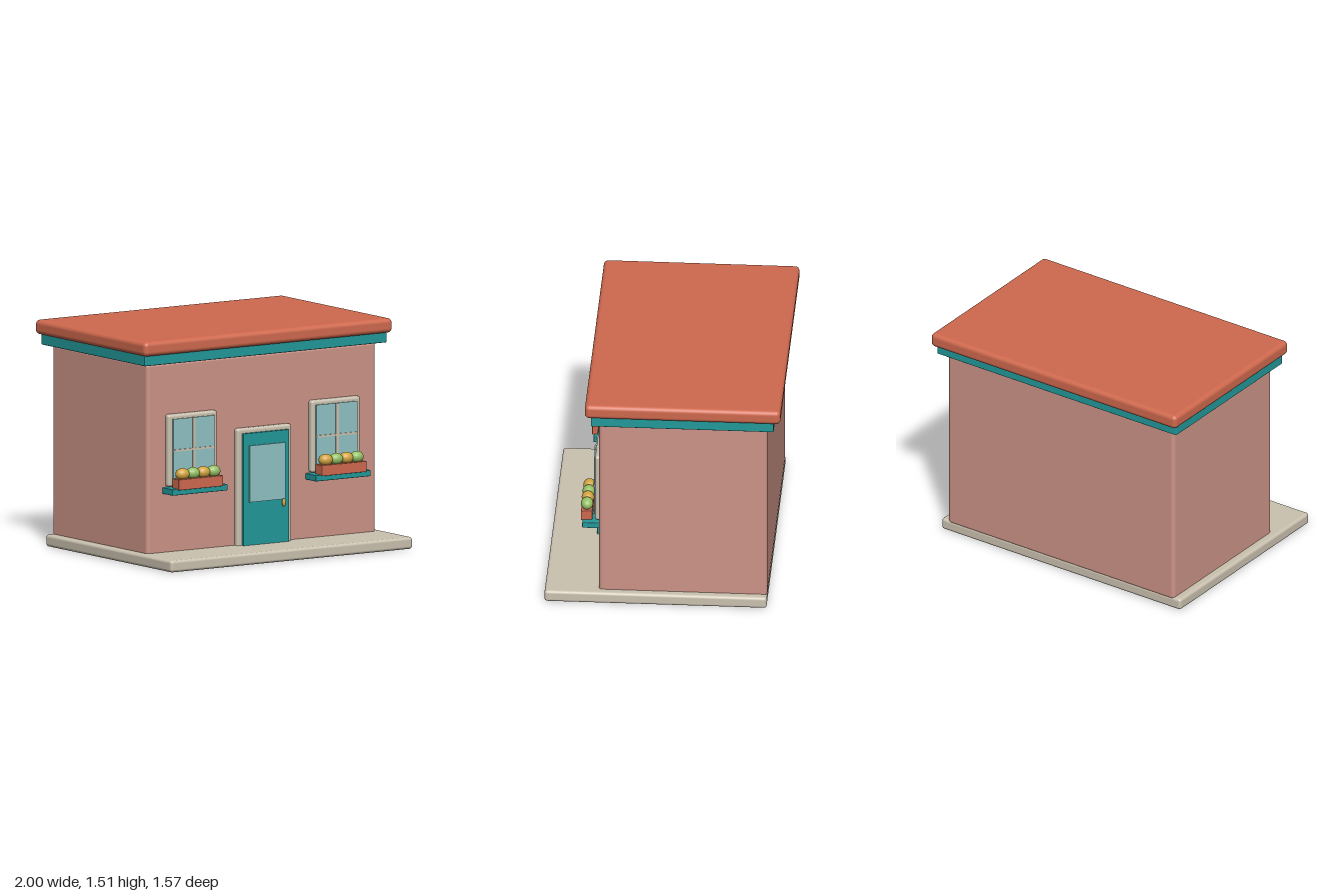
import * as THREE from 'three';
import { RoundedBoxGeometry } from 'three/addons/geometries/RoundedBoxGeometry.js';

function paint(name, color) {
  const m = new THREE.MeshStandardMaterial({ color });
  m.name = name;
  return m;
}

export function createModel() {
  const wall = paint('pink plaster', 0xcd9488);
  const terracotta = paint('terracotta', 0xcf694e);
  const teal = paint('teal', 0x22999a);
  const stone = paint('pale stone', 0xcbc2b0);
  const glass = paint('window glass', 0x90c2c6);
  const gold = paint('gold', 0xd2a440);
  const leaf = paint('leaf green', 0x95c066);

  const house = new THREE.Group();
  house.name = 'house';

  // Box given by its extents on each axis, with rounded edges when r > 0
  function block(parent, name, material, [x0, x1], [y0, y1], [z0, z1], r = 0) {
    const w = x1 - x0, h = y1 - y0, d = z1 - z0;
    const geo = r ? new RoundedBoxGeometry(w, h, d, 4, r) : new THREE.BoxGeometry(w, h, d);
    const mesh = new THREE.Mesh(geo, material);
    mesh.name = name;
    mesh.position.set((x0 + x1) / 2, (y0 + y1) / 2, (z0 + z1) / 2);
    parent.add(mesh);
    return mesh;
  }

  // Ball stretched to the given radii
  function blob(parent, name, material, pos, radii) {
    const mesh = new THREE.Mesh(new THREE.SphereGeometry(1, 24, 16), material);
    mesh.name = name;
    mesh.position.set(...pos);
    mesh.scale.set(...radii);
    parent.add(mesh);
  }

  // Main shell
  block(house, 'baseSlab', stone, [-0.975, 0.975], [0, 0.08], [-0.694, 0.787], 0.02);
  block(house, 'walls', wall, [-0.922, 0.922], [0.06, 1.355], [-0.694, 0.427], 0.025);
  block(house, 'eavesTrim', teal, [-0.975, 0.975], [1.35, 1.42], [-0.741, 0.477], 0.006);
  block(house, 'roof', terracotta, [-1, 1], [1.418, 1.515], [-0.787, 0.517], 0.03);

  // Door
  const door = new THREE.Group();
  door.name = 'door';
  house.add(door);
  block(door, 'doorFrame', stone, [-0.22, 0.22], [0.06, 0.865], [0.41, 0.464], 0.018);
  block(door, 'doorPanel', teal, [-0.184, 0.184], [0.07, 0.832], [0.44, 0.486], 0.006);
  block(door, 'doorGlass', glass, [-0.143, 0.143], [0.37, 0.75], [0.488, 0.497]);
  blob(door, 'doorHandle', gold, [0.118, 0.35, 0.517], [0.013, 0.027, 0.013]);

  // Windows with sills and flower boxes
  for (const side of [-1, 1]) {
    const win = new THREE.Group();
    win.name = side > 0 ? 'leftWindow' : 'rightWindow';
    win.position.x = side * 0.577;
    house.add(win);
    block(win, 'windowFrame', stone, [-0.198, 0.198], [0.52, 1.005], [0.41, 0.463], 0.018);
    block(win, 'windowGlass', glass, [-0.165, 0.165], [0.55, 0.975], [0.463, 0.472]);
    block(win, 'uprightBar', stone, [-0.011, 0.011], [0.55, 0.975], [0.465, 0.479]);
    block(win, 'crossBar', stone, [-0.165, 0.165], [0.756, 0.77], [0.465, 0.478]);
    block(win, 'windowSill', teal, [-0.222, 0.222], [0.474, 0.516], [0.42, 0.546], 0.005);
    block(win, 'flowerBox', terracotta, [-0.18, 0.18], [0.508, 0.58], [0.482, 0.557], 0.003);
    for (let i = 0; i < 4; i++) {
      blob(win, 'flower', i % 2 ? leaf : gold,
        [(i - 1.5) * 0.083, 0.609, 0.52], [0.05, 0.04, 0.041]);
    }
  }
  return house;
}
